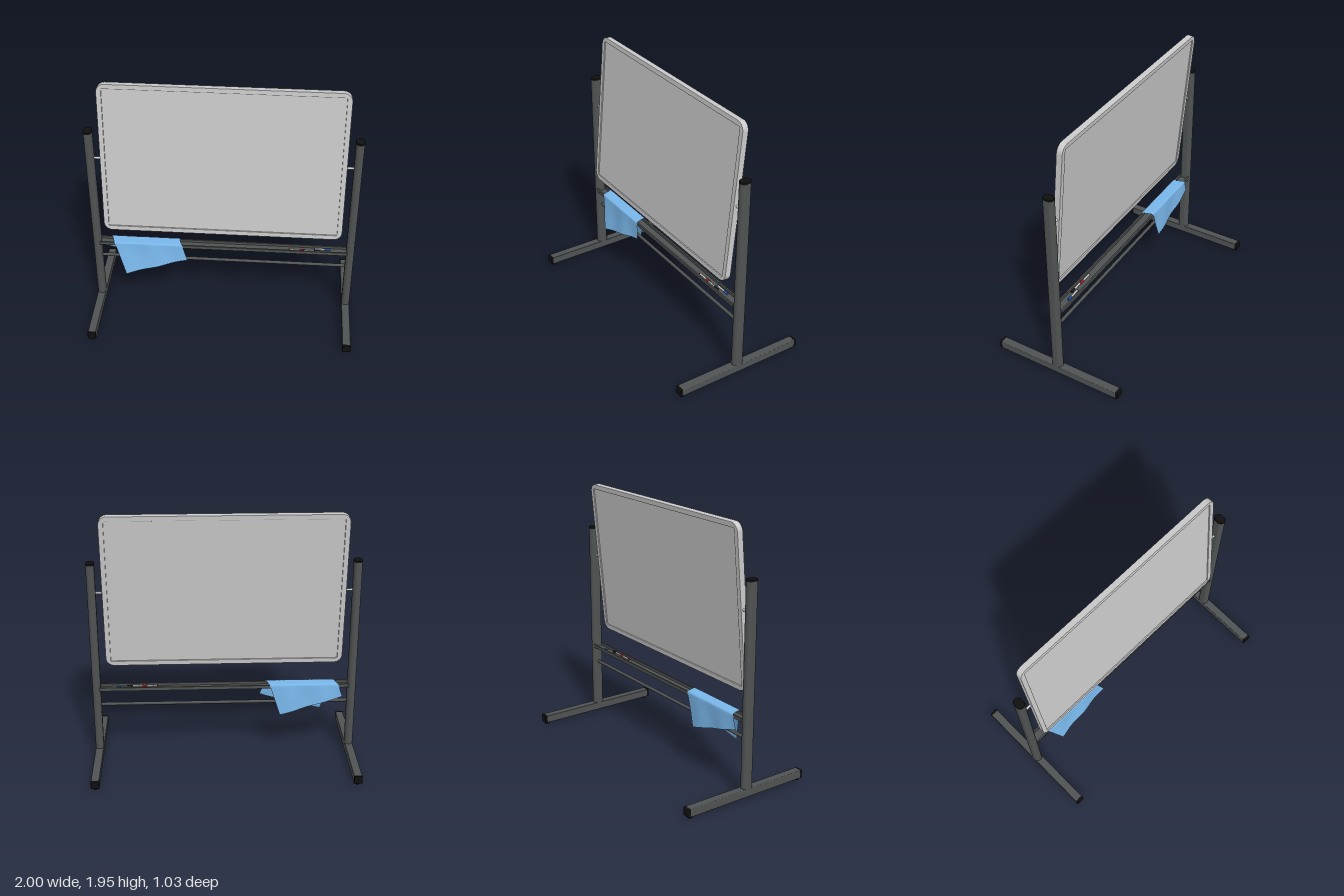
import * as THREE from 'three';
import { RoundedBoxGeometry } from 'three/addons/geometries/RoundedBoxGeometry.js';

const mat = (color, side = THREE.FrontSide) => new THREE.MeshStandardMaterial({ color, side });
const grey = mat(0xcccccc), dark = mat(0x505353), black = mat(0x101010);
const blueCloth = mat(0x7ab8ec, THREE.DoubleSide);
const MID_Z = 0.01; // depth of the posts, tray and pivot

function add(parent, name, geometry, material, x = 0, y = 0, z = 0) {
  const mesh = new THREE.Mesh(geometry, material);
  mesh.name = name;
  mesh.position.set(x, y, z);
  parent.add(mesh);
  return mesh;
}

function roundedRect(Type, w, h, r) {
  const s = new Type(), x = w / 2 - r, y = h / 2 - r;
  s.absarc(x, y, r, 0, Math.PI / 2);
  s.absarc(-x, y, r, Math.PI / 2, Math.PI);
  s.absarc(-x, -y, r, Math.PI, Math.PI * 1.5);
  s.absarc(x, -y, r, Math.PI * 1.5, Math.PI * 2);
  s.closePath();
  return s;
}

// Upright prism with rounded ends, standing on y = 0
function ovalColumn(w, d, height, bevel = 0) {
  const b = bevel;
  const g = new THREE.ExtrudeGeometry(roundedRect(THREE.Shape, w - 2 * b, d - 2 * b, w / 2 - b - 0.0005), {
    depth: height - 2 * b, curveSegments: 10, bevelEnabled: b > 0, bevelSize: b, bevelThickness: b, bevelSegments: 2,
  });
  return g.rotateX(-Math.PI / 2).translate(0, b, 0);
}

// Cylinder lying along x
const rod = (r, length, sides = 20) => new THREE.CylinderGeometry(r, r, length, sides).rotateZ(Math.PI / 2);

function createStand(side) {
  const stand = new THREE.Group();
  stand.name = side > 0 ? 'leftStand' : 'rightStand';
  stand.position.x = side * 0.968;
  add(stand, 'post', ovalColumn(0.062, 0.084, 1.495), dark, 0, 0.075, MID_Z);
  add(stand, 'postCap', ovalColumn(0.064, 0.086, 0.018, 0.005), black, 0, 1.568, MID_Z);
  add(stand, 'foot', new RoundedBoxGeometry(0.062, 0.062, 1.0, 2, 0.006), dark, 0, 0.046, 0);
  for (const end of [-1, 1]) {
    add(stand, 'footCap', new RoundedBoxGeometry(0.064, 0.064, 0.02, 2, 0.006), black, 0, 0.046, end * 0.503);
    add(stand, 'footPad', new THREE.CylinderGeometry(0.022, 0.018, 0.018, 20), black, 0, 0.009, end * 0.48);
  }
  return stand;
}

function createBoard() {
  const board = new THREE.Group();
  board.name = 'board';
  board.position.set(0, 1.35, 0.013);
  board.rotation.x = -0.089;
  const b = 0.003, thick = 0.046;
  const outline = roundedRect(THREE.Shape, 1.782 - 2 * b, 1.2 - 2 * b, 0.06);
  outline.holes.push(roundedRect(THREE.Path, 1.708 + 2 * b, 1.126 + 2 * b, 0.01));
  const frame = new THREE.ExtrudeGeometry(outline, {
    depth: thick - 2 * b, curveSegments: 10, bevelSize: b, bevelThickness: b, bevelSegments: 2,
  }).translate(0, 0, b - thick / 2);
  add(board, 'frame', frame, grey);
  add(board, 'writingPanel', new THREE.BoxGeometry(1.72, 1.14, 0.028), grey);
  return board;
}

function createTray() {
  const tray = new THREE.Group();
  tray.name = 'tray';
  // Open channel with two raised lips, swept along x
  const w = 0.042, t = 0.006, top = 0.026;
  const profile = new THREE.Shape([
    [-w, 0], [w, 0], [w, top], [w - 2 * t, top], [w - 2 * t, t],
    [-w + 2 * t, t], [-w + 2 * t, top], [-w, top],
  ].map(([x, y]) => new THREE.Vector2(x, y)));
  const channel = new THREE.ExtrudeGeometry(profile, { depth: 1.89, bevelEnabled: false })
    .translate(0, 0, -0.945).rotateY(Math.PI / 2);
  add(tray, 'channel', channel, dark, 0, 0.573, MID_Z);
  // Markers resting in the channel
  const pens = [[0.57, 0.022, 0xb02030], [0.76, 0.0, 0x2458b8], [0.68, 0.026, 0x181818]];
  for (const [x, z, color] of pens) {
    const pen = new THREE.Group();
    pen.name = 'marker';
    pen.position.set(x, 0.587, z);
    add(pen, 'barrel', rod(0.007, 0.075, 14), grey, -0.02);
    add(pen, 'cap', rod(0.008, 0.04, 14), mat(color), 0.035);
    add(pen, 'endPlug', rod(0.0072, 0.008, 14), mat(color), -0.06);
    tray.add(pen);
  }
  return tray;
}

// Square cloth turned askew and folded over the tray
function createCloth() {
  const n = 48, depth = 0.094, r = 0.008;
  const g = new THREE.PlaneGeometry(2, 2, n, n);
  const p = g.attributes.position;
  for (let i = 0; i < p.count; i++) {
    const s = p.getX(i), q = p.getY(i);
    const u = -0.5825 + 0.2375 * s - 0.075 * q;
    const v = 0.037 + 0.0725 * s + 0.2375 * q; // distance back from the front fold
    let y = 0.605, z = 0.058 - v;
    const front = v < depth / 2;
    const drop = front ? -v : v - depth; // length hanging below the fold
    if (drop > -r) {
      const a = Math.min((drop + r) / (2 * r), 1) * Math.PI / 2;
      const hang = Math.max(drop, 0);
      const wave = 0.005 * Math.sin(u * 24 + 1) * Math.min(hang / 0.12, 1);
      const flare = front ? 0.04 * Math.pow(hang / 0.275, 1.4) : 0.01 * hang / 0.25;
      const out = -r + r * Math.sin(a) + flare + wave;
      y -= drop > r ? drop : r * (1 - Math.cos(a));
      z = front ? 0.058 + out : 0.058 - depth - out;
    }
    p.setXYZ(i, u, y, z);
  }
  g.computeVertexNormals();
  return g;
}

export function createModel() {
  const model = new THREE.Group();
  model.name = 'mobileWhiteboard';
  for (const side of [-1, 1]) {
    model.add(createStand(side));
    add(model, 'pivotPin', rod(0.009, 0.07), grey, side * 0.915, 1.352, MID_Z);
  }
  model.add(createBoard(), createTray());
  add(model, 'lowerBar', rod(0.0125, 1.89), dark, 0, 0.445, MID_Z);
  add(model, 'cloth', createCloth(), blueCloth);
  return model;
}
